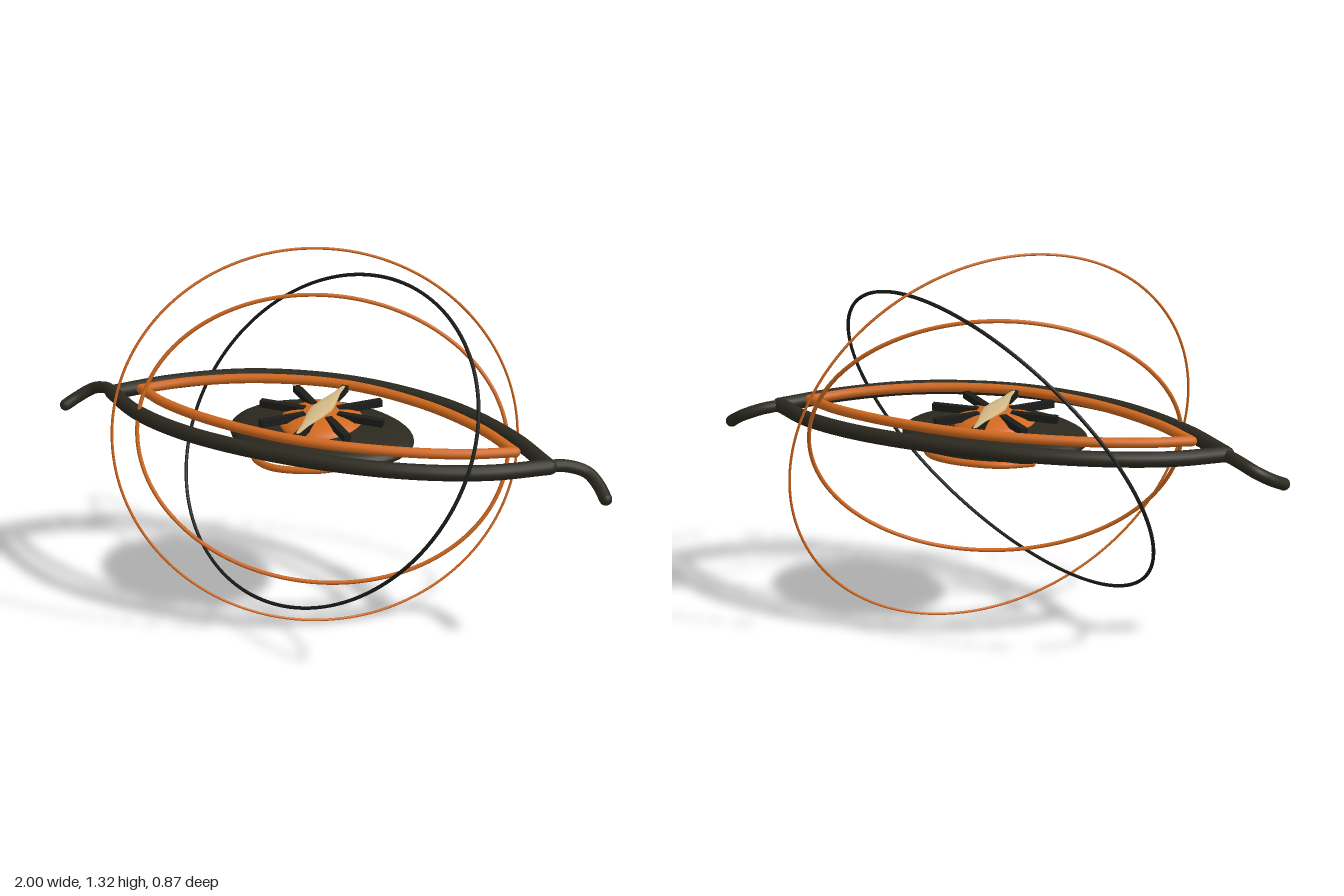
import * as THREE from 'three';

const mat = (name, color) => {
  const m = new THREE.MeshStandardMaterial({ color });
  m.name = name;
  return m;
};

export function createModel() {
  const model = new THREE.Group();
  const bronze = mat('dark bronze', 0x2b291f);
  const black = mat('blackened iron', 0x1c1d1a);
  const copper = mat('copper', 0xd2691e);
  const cream = mat('pale gold', 0xd2b886);
  const V = (p) => new THREE.Vector3(...p);

  function add(name, geo, material, pos = [0, 0, 0], parent = model) {
    const mesh = new THREE.Mesh(geo, material);
    mesh.name = name;
    mesh.position.set(...pos);
    parent.add(mesh);
    return mesh;
  }

  // Smooth rod through a few points, with rounded ends
  function rod(name, pts, r, material) {
    const g = new THREE.Group();
    g.name = name;
    const curve = new THREE.CatmullRomCurve3(pts.map(V), false, 'centripetal');
    add(name + 'Tube', new THREE.TubeGeometry(curve, 64, r, 12), material, [0, 0, 0], g);
    for (const p of [pts[0], pts[pts.length - 1]])
      add(name + 'End', new THREE.SphereGeometry(r, 12, 8), material, p, g);
    model.add(g);
  }

  // Tilted elliptical orbit spanned by two half-axes
  class Orbit extends THREE.Curve {
    constructor(a, b) { super(); this.a = V(a); this.b = V(b); }
    getPoint(t, target = new THREE.Vector3()) {
      const w = t * Math.PI * 2;
      return target.set(0, 0.664, 0)
        .addScaledVector(this.a, Math.cos(w)).addScaledVector(this.b, Math.sin(w));
    }
  }
  const orbits = [
    ['darkRing', [0.57, 0, 0.323], [0.22, 0.53, -0.18], 0.006, black],
    ['innerRing', [0.597, 0, -0.189], [-0.065, 0.463, -0.14], 0.007, copper],
    ['outerRing', [0.556, 0, -0.429], [-0.105, 0.656, -0.025], 0.0045, copper],
  ];
  for (const [name, a, b, r, m] of orbits)
    add(name, new THREE.TubeGeometry(new Orbit(a, b), 160, r, 8, true), m);

  // Eyelids, front and back
  for (const [side, s] of [['front', 1], ['back', -1]]) {
    rod(side + 'Lid', [[-0.79, 0.709, 0], [-0.62, 0.721, 0.142 * s], [-0.36, 0.737, 0.264 * s],
      [0, 0.745, 0.315 * s], [0.36, 0.737, 0.264 * s], [0.62, 0.721, 0.142 * s], [0.79, 0.709, 0]],
    0.026, bronze);
    rod(side + 'InnerLid', [[-0.675, 0.741, 0], [-0.53, 0.752, 0.1 * s], [-0.3, 0.764, 0.193 * s],
      [0, 0.77, 0.238 * s], [0.3, 0.764, 0.193 * s], [0.53, 0.752, 0.1 * s], [0.675, 0.741, 0]],
    0.017, copper);
  }

  // Curled corner tails
  for (const [side, s] of [['left', 1], ['right', -1]])
    rod(side + 'Tail', [[0.78 * s, 0.71, 0], [0.84 * s, 0.702, -0.042], [0.9 * s, 0.681, -0.063],
      [0.945 * s, 0.654, -0.04], [0.98 * s, 0.629, 0]], 0.021, bronze);

  // Iris and pupil dome
  add('iris', new THREE.SphereGeometry(1, 48, 24), bronze, [0, 0.688, 0]).scale.set(0.32, 0.06, 0.238);
  add('pupilDome', new THREE.SphereGeometry(1, 40, 20), copper, [0, 0.73, 0]).scale.set(0.143, 0.046, 0.155);

  // Eight spokes above the dome
  const spokes = new THREE.Group();
  spokes.name = 'spokes';
  for (let i = 0; i < 8; i++) {
    const arm = new THREE.Group();
    arm.name = 'spokeArm';
    arm.rotation.y = i * Math.PI / 4;
    add('spoke', new THREE.BoxGeometry(0.16, 0.024, 0.024), black, [0.14, 0.765, 0], arm);
    spokes.add(arm);
  }
  model.add(spokes);

  // Slit pupil: flattened spindle along z, resting on the spokes
  const profile = [[0, -0.212], [0.007, -0.2], [0.013, -0.14], [0.03, -0.06], [0.039, 0],
    [0.03, 0.06], [0.013, 0.14], [0.007, 0.2], [0, 0.212]];
  const slit = new THREE.LatheGeometry(profile.map((p) => new THREE.Vector2(...p)), 12);
  slit.rotateX(Math.PI / 2).scale(1, 0.25, 1);
  add('slitPupil', slit, cream, [0, 0.779, 0]);

  // Copper swirls under the iris
  rod('frontSwirl', [[0.19, 0.668, 0.13], [0.07, 0.665, 0.222], [-0.08, 0.654, 0.235],
    [-0.18, 0.638, 0.15], [-0.18, 0.632, 0.06]], 0.012, copper);
  rod('backSwirl', [[0.21, 0.655, -0.11], [0.15, 0.662, -0.195], [0.05, 0.668, -0.238],
    [-0.09, 0.668, -0.228], [-0.18, 0.658, -0.15]], 0.012, copper);

  return model;
}
